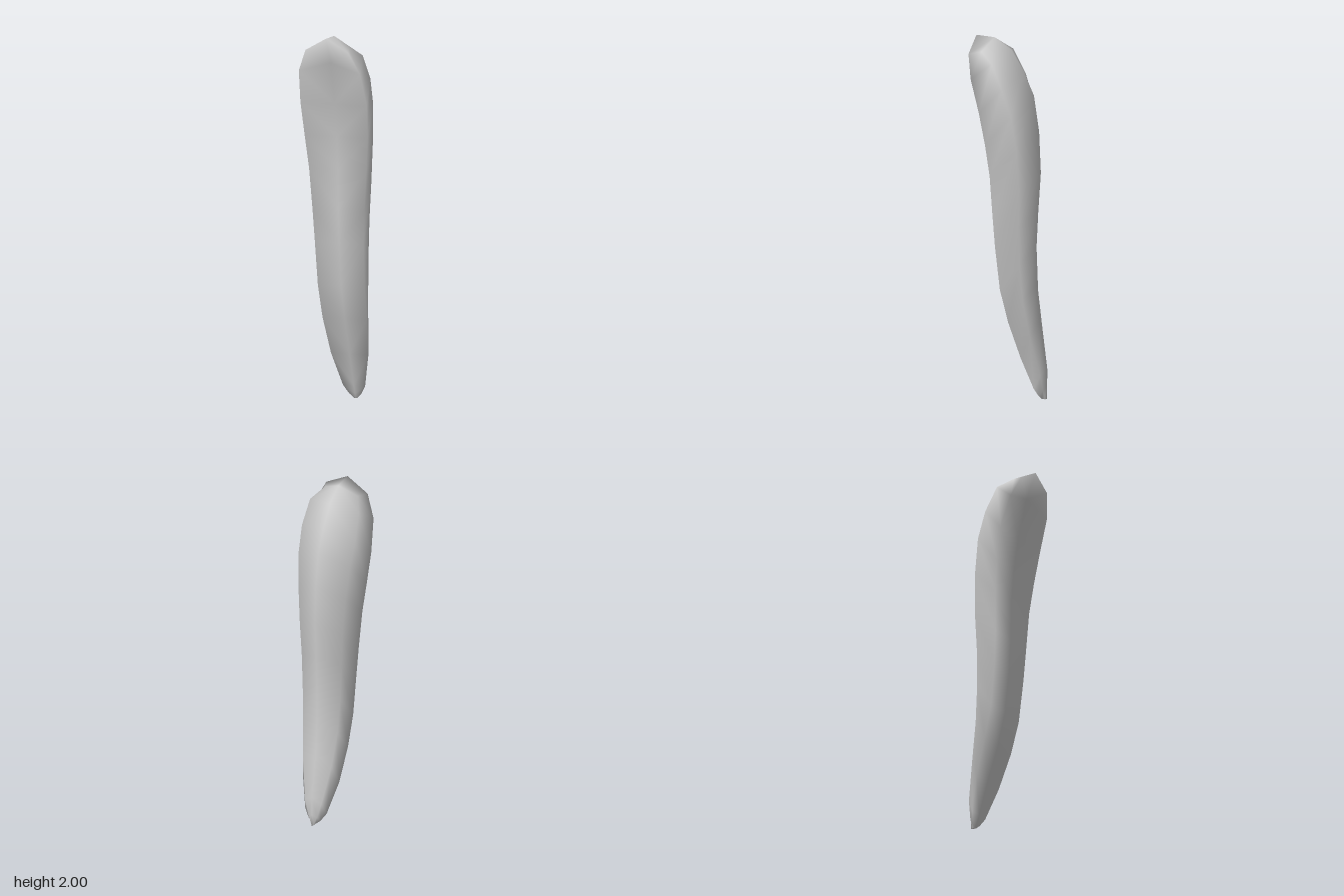
import * as THREE from 'three';

// One ring per row: [front edge y, half width, front z, back spine y, back spine z, front dip]
const ROWS = [
  [1.93, 0.125, 0.198, 2.0, 0.1, -0.007],
  [1.81, 0.18, 0.162, 1.94, 0.0, 0.015],
  [1.63, 0.195, 0.108, 1.83, -0.07, 0.015],
  [1.45, 0.185, 0.076, 1.7, -0.13, 0.01],
  [1.27, 0.168, 0.056, 1.5, -0.16, 0.005],
  [1.05, 0.152, 0.047, 1.27, -0.17, 0],
  [0.87, 0.143, 0.036, 1.05, -0.155, 0],
  [0.63, 0.137, 0.01, 0.85, -0.145, 0],
  [0.45, 0.13, -0.035, 0.63, -0.145, 0],
  [0.25, 0.11, -0.1, 0.43, -0.162, 0],
  [0.07, 0.065, -0.157, 0.18, -0.203, -0.004],
  [0.025, 0.036, -0.172, 0.07, -0.205, -0.003],
  [0.0, 0.008, -0.178, 0.0, -0.205, 0],
];

// Six-point section: flat front, tapered sides, blunt ridge at the back
function section([y, w, zf, yb, zb, dip], i) {
  const top = i === 0;
  const t = i / (ROWS.length - 1);
  const cornerW = w * (top ? 0.8 : 0.8 + 0.1 * Math.sin(Math.PI * t) - 0.12 * t);
  const cornerY = THREE.MathUtils.lerp(y, yb, top ? 0.2 : 0.67);
  const cornerZ = THREE.MathUtils.lerp(zf, zb, 0.67);
  const centreY = top ? yb : i === 1 ? 1.86 : y;
  return [
    [0, centreY, zf - dip],
    [w, y, zf],
    [cornerW, cornerY, cornerZ],
    [0, yb, zb],
    [-cornerW, cornerY, cornerZ],
    [-w, y, zf],
  ];
}

export function createModel() {
  const points = ROWS.flatMap(section);
  const index = [];
  const n = 6;

  // Walls between neighbouring rings
  for (let r = 0; r < ROWS.length - 1; r++) {
    for (let k = 0; k < n; k++) {
      const a = r * n + k, b = r * n + ((k + 1) % n), c = a + n, d = b + n;
      // mirrored diagonals keep both halves symmetrical
      if (k < 3) index.push(a, c, b, b, c, d);
      else index.push(a, c, d, a, d, b);
    }
  }

  // Gabled top and blunt tip
  const e = (ROWS.length - 1) * n;
  index.push(0, 1, 3, 1, 2, 3, 0, 3, 5, 5, 3, 4);
  index.push(e, e + 3, e + 1, e + 1, e + 3, e + 2, e, e + 5, e + 3, e + 5, e + 4, e + 3);

  const geometry = new THREE.BufferGeometry();
  geometry.setAttribute('position', new THREE.Float32BufferAttribute(points.flat(), 3));
  geometry.setIndex(index);
  geometry.computeVertexNormals();

  const body = new THREE.Mesh(geometry, new THREE.MeshStandardMaterial({ color: 0xcccccc }));
  body.name = 'curvedBody';
  const group = new THREE.Group();
  group.name = 'curvedHandle';
  group.add(body);
  return group;
}
